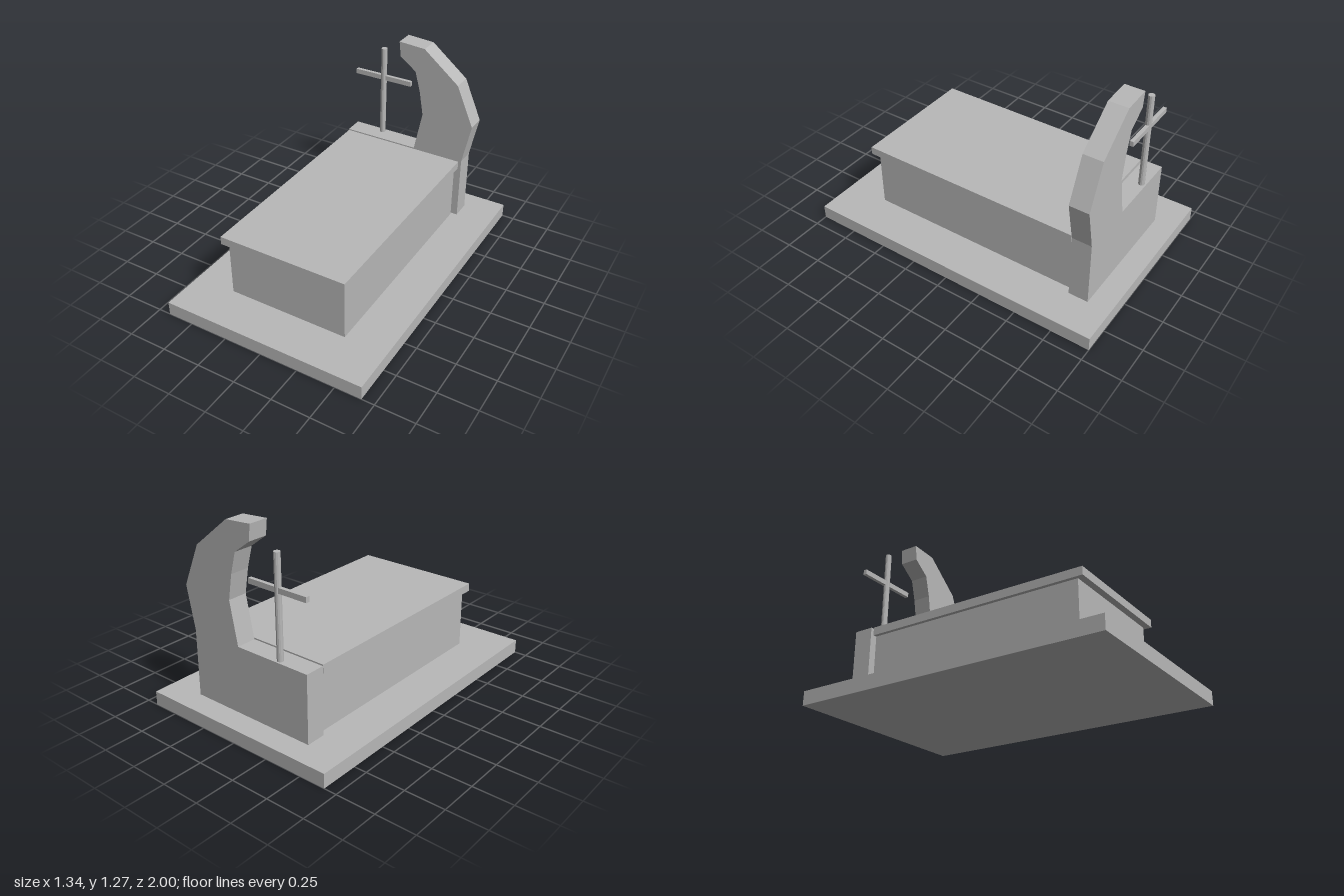
import * as THREE from 'three';

export function createModel() {
  const group = new THREE.Group();
  const stone = new THREE.MeshStandardMaterial({ color: 0xb8b8b8, flatShading: true });
  stone.name = 'grey stone';

  const add = (name, geometry, x = 0, y = 0, z = 0) => {
    const mesh = new THREE.Mesh(geometry, stone);
    mesh.name = name;
    mesh.position.set(x, y, z);
    group.add(mesh);
    return mesh;
  };
  // Box given by its minimum and maximum on each axis
  const block = (name, [x0, x1], [y0, y1], [z0, z1]) =>
    add(name, new THREE.BoxGeometry(x1 - x0, y1 - y0, z1 - z0),
      (x0 + x1) / 2, (y0 + y1) / 2, (z0 + z1) / 2);

  // Ground plinth, tomb and overhanging lid
  block('plinth', [-0.67, 0.67], [0, 0.09], [-1, 1]);
  block('tombBody', [-0.398, 0.395], [0.09, 0.468], [-0.71, 0.715]);
  block('lidSlab', [-0.422, 0.42], [0.468, 0.52], [-0.712, 0.757]);

  // Headstone: low wall with a curved, hooked pillar
  const outline = [
    [-0.43, 0.09], [0.435, 0.09], [0.435, 0.52], [0.49, 0.79], [0.372, 1.06],
    [0.127, 1.258], [-0.053, 1.27], [-0.042, 1.17], [0.07, 1.087],
    [0.107, 0.95], [0.135, 0.79], [0.083, 0.52], [-0.43, 0.52],
  ].map(([x, y]) => new THREE.Vector2(x, y));
  add('headstone', new THREE.ExtrudeGeometry(new THREE.Shape(outline),
    { depth: 0.127, bevelEnabled: false }), 0, 0, -0.852);

  // Cross standing on the low wall
  add('crossPost', new THREE.CylinderGeometry(0.02, 0.02, 0.64, 12), -0.213, 0.83, -0.823);
  block('crossBar', [-0.422, -0.006], [0.921, 0.954], [-0.837, -0.813]);

  return group;
}
